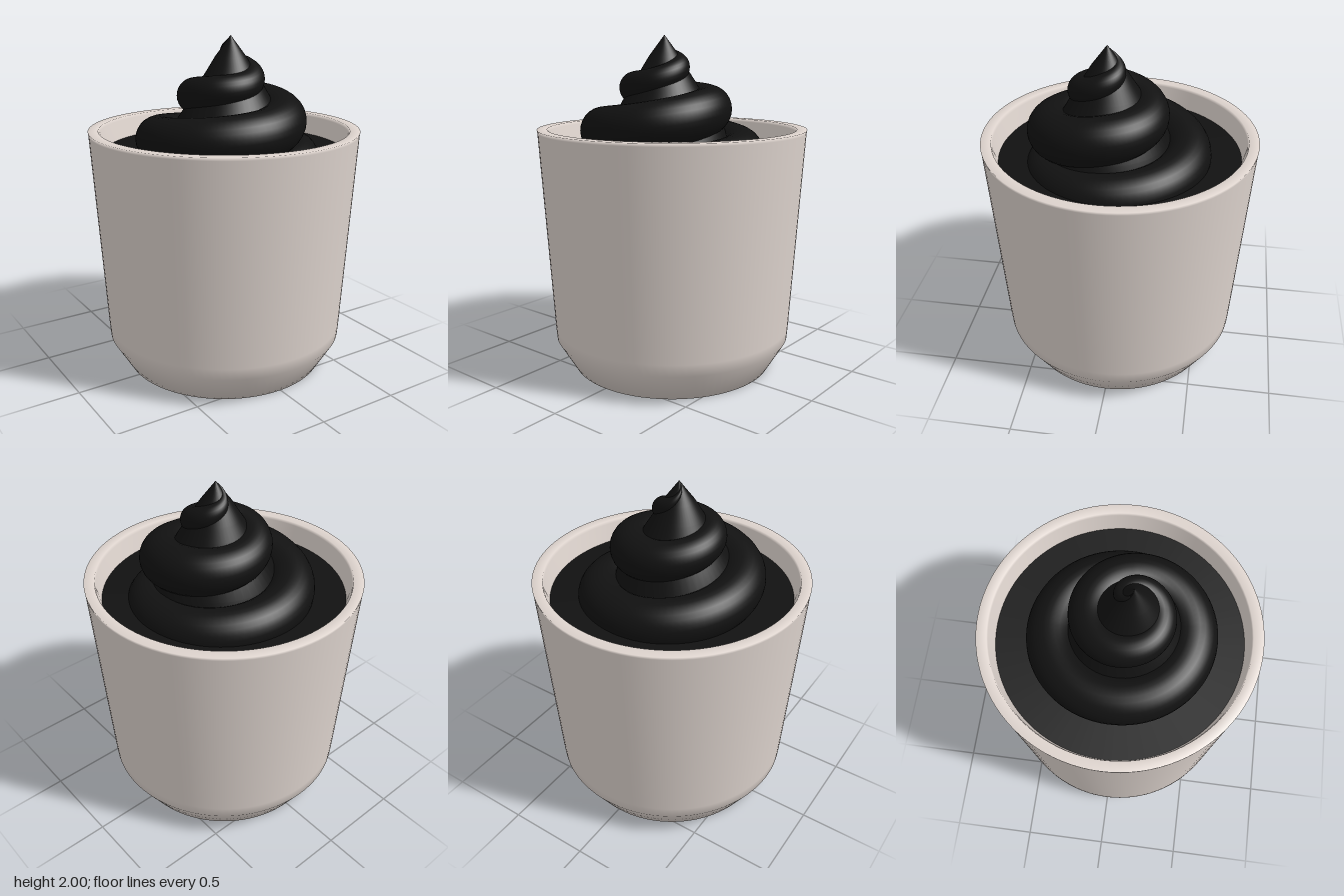
import * as THREE from 'three';
import { ParametricGeometry } from 'three/addons/geometries/ParametricGeometry.js';

const ceramic = new THREE.MeshStandardMaterial({ color: 0xded4ce });
ceramic.name = 'warm white ceramic';
const cream = new THREE.MeshStandardMaterial({ color: 0x111111 });
cream.name = 'black cream';

const lathe = (profile, segments) =>
  new THREE.LatheGeometry(profile.map(([r, y]) => new THREE.Vector2(r, y)), segments);

function addPart(group, name, geometry, material) {
  const mesh = new THREE.Mesh(geometry, material);
  mesh.name = name;
  group.add(mesh);
  return mesh;
}

// Tapering rope of cream wound upward; one control point per quarter turn:
// outer reach, top height, rope radius
function swirlGeometry() {
  const quarters = [
    [0.52, 1.37, 0.10], [0.56, 1.43, 0.13], [0.575, 1.49, 0.14], [0.53, 1.56, 0.14],
    [0.49, 1.62, 0.145], [0.415, 1.70, 0.14], [0.35, 1.73, 0.12], [0.29, 1.78, 0.10],
    [0.23, 1.81, 0.09], [0.17, 1.88, 0.08], [0.10, 1.93, 0.055], [0, 2, 0.001],
  ];
  const rule = new THREE.CatmullRomCurve3(quarters.map((p) => new THREE.Vector3(...p)));
  const p = new THREE.Vector3();
  return new ParametricGeometry((u, v, target) => {
    rule.getPoint(Math.min(Math.max(u, 0), 1), p);
    const turn = (u * (quarters.length - 1) - 1) * Math.PI / 2;
    const around = v * Math.PI * 2;
    const r = p.x - p.z + p.z * Math.cos(around);
    const y = p.y - p.z + p.z * Math.sin(around);
    // The axis drifts toward the front as it rises
    const drift = 0.07 * Math.min(1, 0.4 + u);
    target.set(r * Math.cos(turn), y, drift - r * Math.sin(turn));
  }, 220, 28);
}

export function createModel() {
  const model = new THREE.Group();
  model.name = 'cupOfSwirledCream';

  // Hollow cup with chamfered foot
  addPart(model, 'cup', lathe([
    [0, 0], [0.61, 0], [0.718, 0.18], [0.724, 0.25], [0.797, 1.44], [0.8, 1.458],
    [0.74, 1.458], [0.735, 1.44], [0.705, 1.31], [0.68, 1.2],
  ], 96), ceramic);

  // Level surface of the filling
  const filling = addPart(model, 'filling', new THREE.CircleGeometry(0.71, 96), cream);
  filling.rotation.x = -Math.PI / 2;
  filling.position.y = 1.33;

  // Swirl and the solid core that closes its middle
  addPart(model, 'swirl', swirlGeometry(), cream);
  const core = addPart(model, 'swirlCore', lathe([
    [0.4, 1.3], [0.36, 1.45], [0.26, 1.6], [0.19, 1.72], [0.145, 1.79], [0.09, 1.88], [0, 2],
  ], 48), cream);
  core.position.z = 0.07;

  return model;
}
